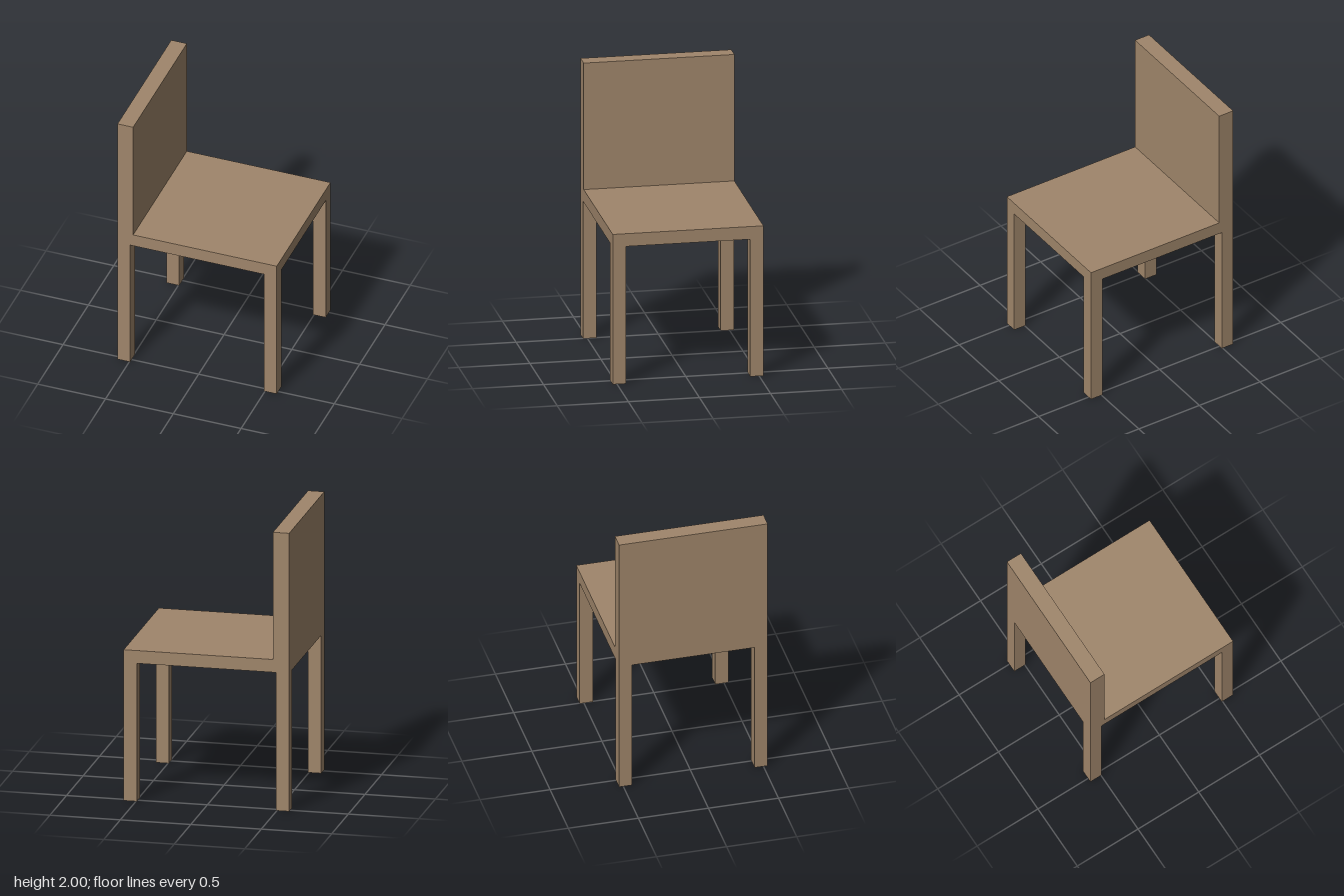
import * as THREE from 'three';

const HALF_X = 0.587, HALF_Z = 0.53;
const LEG = 0.093, SEAT_BOTTOM = 0.993, SEAT_TOP = 1.085;
const BACK_THICKNESS = 0.115, TOP = 2;

export function createModel() {
  const chair = new THREE.Group();
  chair.name = 'chair';
  const wood = new THREE.MeshStandardMaterial({ color: 0xa0866b });

  // Seat and backrest: one L-shaped profile, extruded across the depth
  const profile = new THREE.Shape([
    [-HALF_X, SEAT_BOTTOM],
    [HALF_X, SEAT_BOTTOM],
    [HALF_X, SEAT_TOP],
    [-HALF_X + BACK_THICKNESS, SEAT_TOP],
    [-HALF_X + BACK_THICKNESS, TOP],
    [-HALF_X, TOP],
  ].map(([x, y]) => new THREE.Vector2(x, y)));
  const bodyGeometry = new THREE.ExtrudeGeometry(profile, { depth: 2 * HALF_Z, bevelEnabled: false });
  bodyGeometry.translate(0, 0, -HALF_Z);
  const body = new THREE.Mesh(bodyGeometry, wood);
  body.name = 'seatAndBackrest';
  chair.add(body);

  // Four square legs, flush with the seat corners
  const legGeometry = new THREE.BoxGeometry(LEG, SEAT_BOTTOM, LEG);
  for (const sx of [-1, 1]) {
    for (const sz of [-1, 1]) {
      const leg = new THREE.Mesh(legGeometry, wood);
      leg.name = (sz > 0 ? 'front' : 'back') + (sx > 0 ? 'Left' : 'Right') + 'Leg';
      leg.position.set(sx * (HALF_X - LEG / 2), SEAT_BOTTOM / 2, sz * (HALF_Z - LEG / 2));
      chair.add(leg);
    }
  }

  return chair;
}
